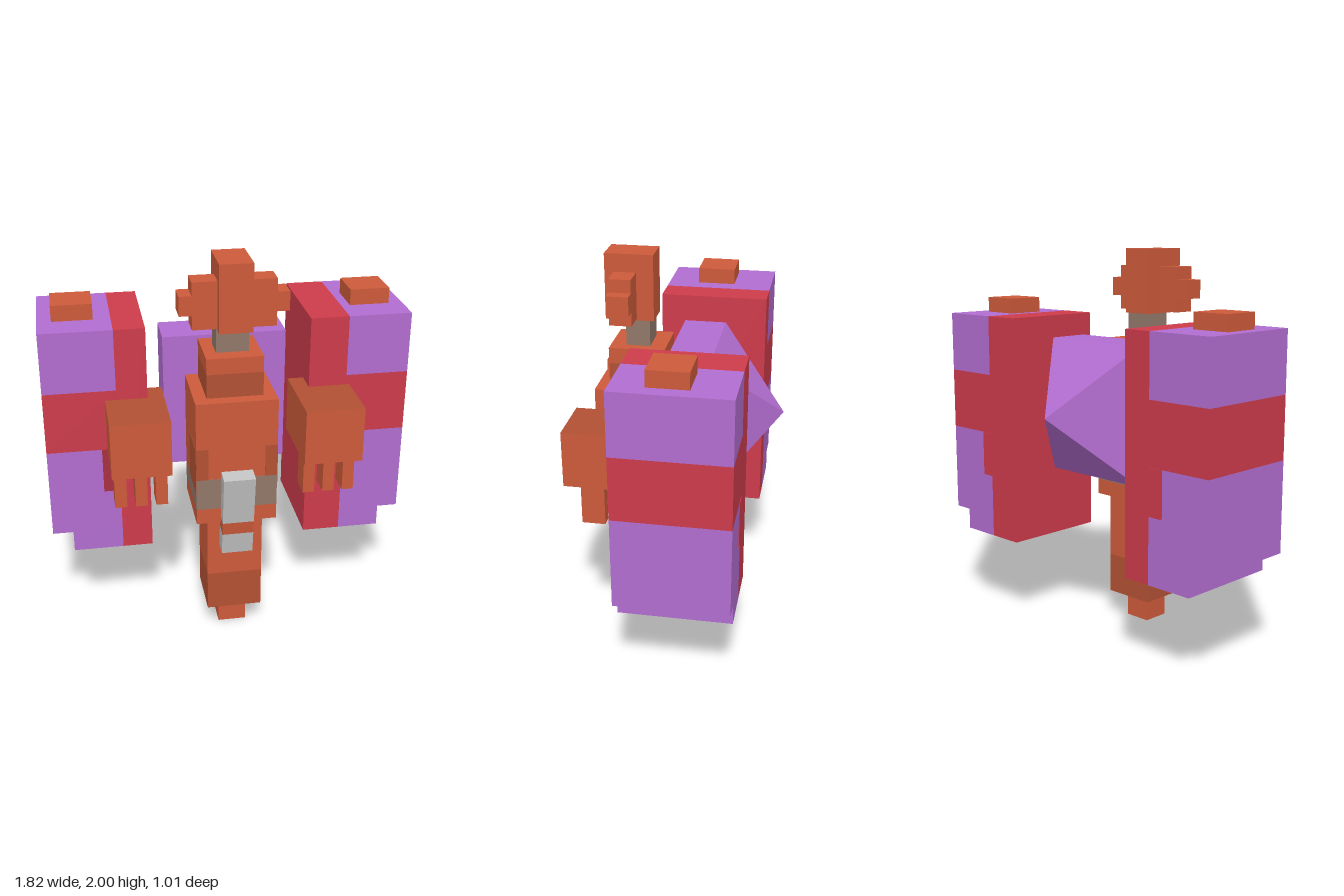
import * as THREE from 'three';

const material = (name, color) => {
  const m = new THREE.MeshStandardMaterial({ color });
  m.name = name;
  return m;
};

export function createModel() {
  const orange = material('orange', 0xcd5a3a);
  const brown = material('rust brown', 0xb35134);
  const purple = material('purple', 0xb26dd0);
  const red = material('red', 0xcd3b4b);
  const darkRed = material('dark red', 0xa83040);
  const taupe = material('taupe', 0x92786a);
  const silver = material('silver', 0xc2c2c2);

  const model = new THREE.Group();
  model.name = 'robot';

  const group = (name) => {
    const g = new THREE.Group();
    g.name = name;
    model.add(g);
    return g;
  };

  // Box given by its limits along x, y and z
  const box = (parent, name, mat, [x0, x1], [y0, y1], [z0, z1]) => {
    const mesh = new THREE.Mesh(
      new THREE.BoxGeometry(Math.abs(x1 - x0), y1 - y0, z1 - z0), mat);
    mesh.name = name;
    mesh.position.set((x0 + x1) / 2, (y0 + y1) / 2, (z0 + z1) / 2);
    parent.add(mesh);
    return mesh;
  };
  const sym = (w) => [-w, w];

  // Head and neck
  const head = group('head');
  box(head, 'skull', orange, sym(0.08), [1.67, 2], [0.14, 0.38]);
  box(head, 'cheeks', orange, sym(0.2), [1.68, 1.91], [0.225, 0.335]);
  box(head, 'ears', orange, sym(0.26), [1.75, 1.845], [0.225, 0.335]);
  box(head, 'neck', taupe, sym(0.08), [1.54, 1.67], [0.16, 0.28]);

  // Torso in coloured layers
  const torso = group('torso');
  const collarZ = [0.08, 0.357];
  box(torso, 'collar', orange, sym(0.138), [1.46, 1.54], collarZ);
  box(torso, 'collarBand', brown, sym(0.138), [1.34, 1.46], collarZ);
  const chestZ = [0.05, 0.42];
  box(torso, 'chest', orange, sym(0.2), [0.86, 1.34], chestZ);
  box(torso, 'belt', taupe, sym(0.2), [0.77, 0.86], chestZ);
  box(torso, 'hips', orange, sym(0.2), [0.69, 0.77], chestZ);
  box(torso, 'beltFront', taupe, sym(0.2), [0.86, 0.935], [0.418, 0.422]);
  for (const s of [-1, 1]) {
    box(torso, 'frontPatch', brown, [s * 0.14, s * 0.2], [0.935, 1.1], [0.418, 0.422]);
    box(torso, 'sidePatch', brown, [s * 0.198, s * 0.202], [0.86, 1.1], [0.2, 0.42]);
  }

  // Single central leg
  const leg = group('leg');
  box(leg, 'thigh', orange, sym(0.14), [0.35, 0.69], [0.082, 0.365]);
  box(leg, 'shin', brown, sym(0.14), [0.14, 0.35], [0.082, 0.365]);
  box(leg, 'foot', orange, sym(0.072), [0, 0.14], [0.152, 0.295]);

  // Tilted front plate
  const plate = group('frontPlate');
  plate.position.set(0, 0.748, 0.433);
  plate.rotation.x = 0.144;
  box(plate, 'plateTop', silver, sym(0.078), [-0.035, 0.225], sym(0.04));
  box(plate, 'plateStripe', orange, sym(0.078), [-0.105, -0.035], sym(0.04));
  box(plate, 'plateBottom', silver, sym(0.078), [-0.225, -0.105], sym(0.04));

  // Backpack ending in a pyramid
  const pack = group('backpack');
  box(pack, 'packBody', purple, sym(0.31), [0.85, 1.545], [-0.165, 0.05]);
  const cone = new THREE.ConeGeometry(Math.SQRT1_2, 1, 4, 1, true)
    .rotateY(Math.PI / 4)
    .rotateX(-Math.PI / 2)
    .scale(0.62, 0.695, 0.342)
    .toNonIndexed();
  cone.computeVertexNormals();
  const spike = new THREE.Mesh(cone, purple);
  spike.name = 'packSpike';
  spike.position.set(0, 1.1975, -0.336);
  pack.add(spike);

  for (const s of [-1, 1]) {
    const side = s > 0 ? 'left' : 'right';
    const X = (a, b) => [s * a, s * b];

    // Large side pod, red on the inside and around the middle
    const pod = group(side + 'Pod');
    const podZ = [-0.365, 0.19];
    const edge = s > 0 ? 0.595 : 0.555;
    box(pod, 'innerStripe', red, X(0.403, edge), [0.455, 1.65], podZ);
    box(pod, 'podTop', purple, X(edge, 0.91), [1.34, 1.65], podZ);
    box(pod, 'podBand', red, X(edge, 0.91), [1.025, 1.34], podZ);
    box(pod, 'podBottom', purple, X(edge, 0.91), [0.565, 1.025], podZ);
    box(pod, 'podStep', purple, X(edge, 0.807), [0.455, 0.565], podZ);
    box(pod, 'podCap', orange, X(0.64, 0.84), [1.65, 1.73], [-0.165, 0.03]);
    const patchEnd = s > 0 ? 0.66 : 0.638;
    box(pod, 'frontPatch', darkRed, X(edge, patchEnd), [0.79, 1.025], [0.188, 0.193]);
    box(pod, 'backPatch', red, X(edge, patchEnd), [0.79, 1.025], [-0.368, -0.363]);

    // Forearm block with three fingers
    const arm = group(side + 'Arm');
    const faces = [orange, orange, brown, orange, orange, orange];
    box(arm, 'forearm', faces, X(0.322, 0.61), [1.01, 1.29], [0.07, 0.483]);
    for (const x of [0.367, 0.467, 0.567]) {
      box(arm, 'finger', orange, X(x - 0.029, x + 0.029), [0.81, 1.01], [0.288, 0.402]);
    }
  }
  return model;
}
